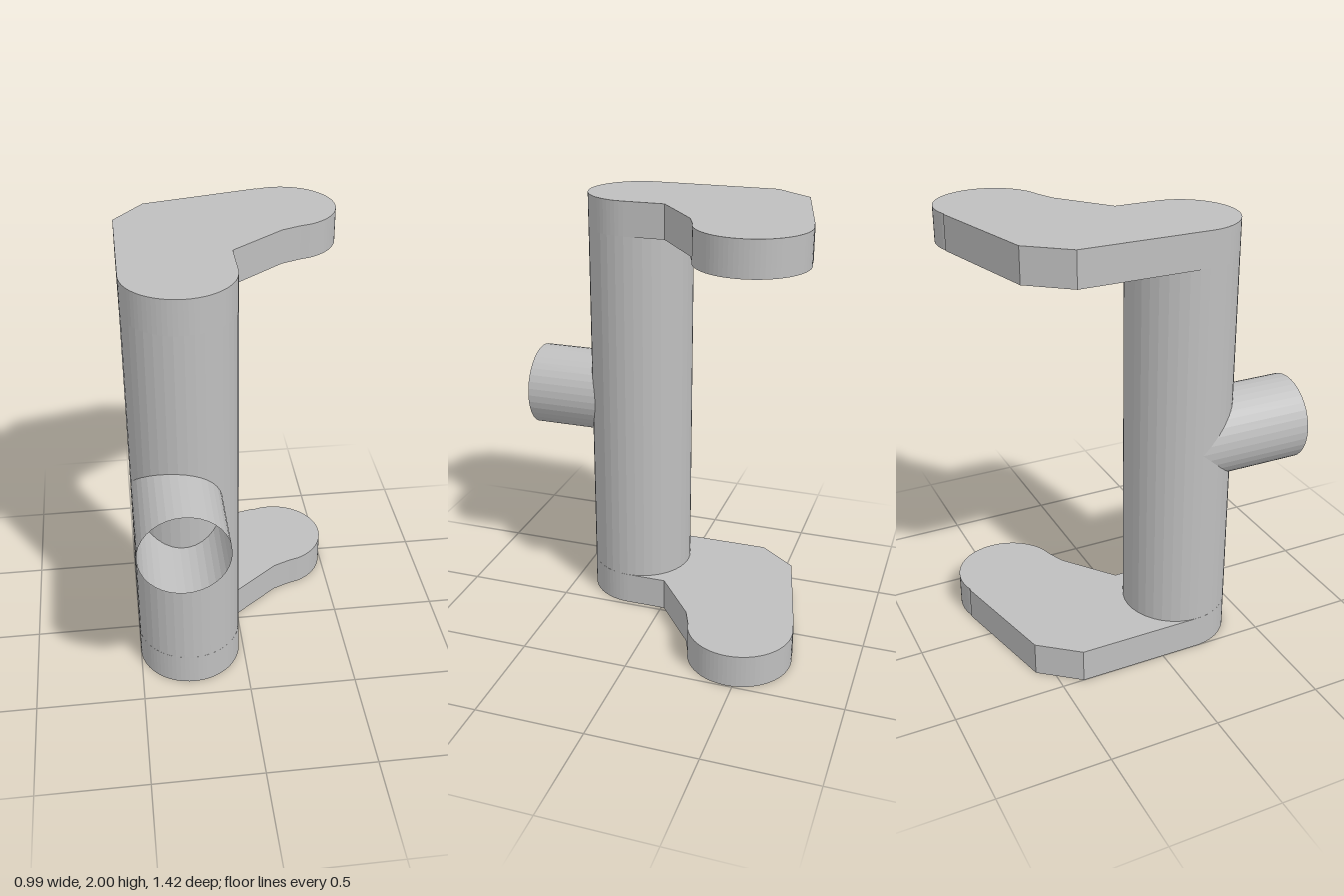
import * as THREE from 'three';

const R = 0.24;            // column and plate end radius
const CX = -0.26, CZ = 0.175; // column axis
const T = 0.155;           // plate thickness

export function createModel() {
  const group = new THREE.Group();
  const grey = new THREE.MeshStandardMaterial({ color: 0xbfbfbf, flatShading: true, side: THREE.DoubleSide });
  grey.name = 'light grey';

  const add = (name, geometry, x = 0, y = 0, z = 0) => {
    const mesh = new THREE.Mesh(geometry, grey);
    mesh.name = name;
    mesh.position.set(x, y, z);
    group.add(mesh);
  };

  // Bent end plate, drawn with shape y = -z
  const outline = new THREE.Shape();
  outline.moveTo(CX + R, -CZ);
  outline.absarc(CX, -CZ, R, 0, -Math.PI, true);
  outline.lineTo(-0.5, 0.4);
  outline.lineTo(-0.36, 0.575);
  outline.lineTo(0.17, 0.7);
  outline.absarc(0.255, 0.47, R, 1.925, -1.19, true);
  outline.lineTo(0.3, 0.235);
  outline.lineTo(0.215, 0.2);
  outline.lineTo(CX + R, 0.015);
  const plate = new THREE.ExtrudeGeometry(outline, { depth: T, bevelEnabled: false, curveSegments: 18 });
  plate.rotateX(-Math.PI / 2);
  add('bottomPlate', plate);
  add('topPlate', plate, 0, 2 - T, 0);

  // Upright column between the plates
  add('column', new THREE.CylinderGeometry(R, R, 2 - 2 * T, 36, 1, true), CX, 1, CZ);

  // Open side pipe, its inner rim trimmed to the column surface
  const pipe = new THREE.CylinderGeometry(0.195, 0.195, 1, 36, 1, true);
  pipe.rotateX(Math.PI / 2);
  const px = -0.305;
  const p = pipe.attributes.position;
  for (let i = 0; i < p.count; i++) {
    const dx = p.getX(i) + px - CX;
    p.setZ(i, p.getZ(i) > 0 ? 0.71 : CZ + Math.sqrt(Math.max(0, R * R - dx * dx)));
  }
  pipe.computeVertexNormals();
  add('sidePipe', pipe, px, 1.005, 0);

  return group;
}
